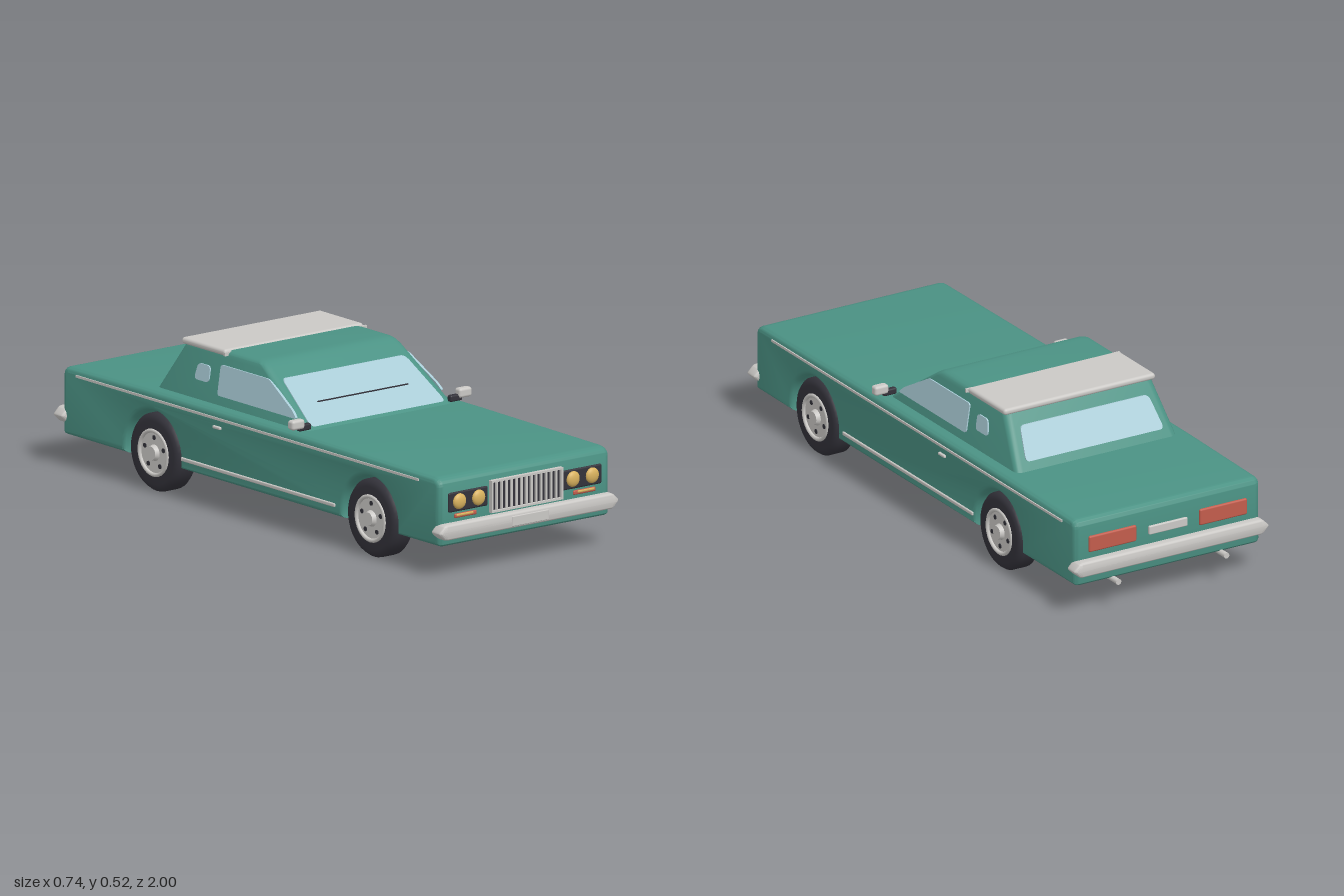
import * as THREE from 'three';
import { toCreasedNormals } from 'three/addons/utils/BufferGeometryUtils.js';
import { RoundedBoxGeometry } from 'three/addons/geometries/RoundedBoxGeometry.js';

const mat = (name, color) => Object.assign(new THREE.MeshStandardMaterial({ color }), { name });

export function createModel() {
  const car = new THREE.Group();
  car.name = 'car';
  const paint = mat('green paint', 0x4b9284);
  const chrome = mat('chrome', 0xcac8c5);
  const dark = mat('dark rubber', 0x33323a);
  const under = mat('underbody black', 0x222127);
  const glass = mat('glass', 0xa9cbd6);
  const red = mat('red lamp', 0xc25c4c);
  const gold = mat('headlamp yellow', 0xd9b25e);

  const add = (name, geo, material, x = 0, y = 0, z = 0, parent = car) => {
    const m = new THREE.Mesh(geo, material);
    m.name = name;
    m.position.set(x, y, z);
    parent.add(m);
    return m;
  };
  const box = (name, material, w, h, d, x, y, z, r = 0) =>
    add(name, r ? new RoundedBoxGeometry(w, h, d, 3, r) : new THREE.BoxGeometry(w, h, d), material, x, y, z);

  // Polygon with rounded corners
  const roundedShape = (pts, r) => {
    const s = new THREE.Shape();
    const v = pts.map((p) => new THREE.Vector2(...p));
    v.forEach((p, i) => {
      const toward = (q) => p.clone().add(q.clone().sub(p).setLength(r));
      const a = toward(v[(i + v.length - 1) % v.length]);
      const b = toward(v[(i + 1) % v.length]);
      if (i) s.lineTo(a.x, a.y); else s.moveTo(a.x, a.y);
      s.quadraticCurveTo(p.x, p.y, b.x, b.y);
    });
    s.closePath();
    return s;
  };

  // Lower body: side profile with wheel arches, extruded across the width
  const wheelZ = [-0.505, 0.61];
  const profile = new THREE.Shape();
  profile.moveTo(-0.955, 0.103);
  for (const z of wheelZ) profile.absarc(z, 0.13, 0.138, Math.PI + 0.2, -0.2, true);
  profile.lineTo(0.955, 0.103);
  profile.quadraticCurveTo(0.968, 0.103, 0.968, 0.115);
  profile.lineTo(0.968, 0.3);
  profile.quadraticCurveTo(0.966, 0.326, 0.93, 0.33);
  profile.lineTo(0.3, 0.336);
  profile.lineTo(-0.55, 0.336);
  profile.lineTo(-0.94, 0.33);
  profile.quadraticCurveTo(-0.968, 0.328, -0.968, 0.3);
  profile.lineTo(-0.968, 0.115);
  profile.quadraticCurveTo(-0.968, 0.103, -0.955, 0.103);
  const body = new THREE.ExtrudeGeometry(profile, {
    depth: 0.666, bevelThickness: 0.02, bevelSize: 0.018, bevelOffset: -0.018, bevelSegments: 4, curveSegments: 20,
  });
  body.translate(0, 0, -0.333).rotateY(-Math.PI / 2);
  add('body', toCreasedNormals(body, 0.6), paint);
  box('wheelWellLiner', under, 0.51, 0.18, 1.46, 0, 0.2, 0.05);
  box('floorPan', under, 0.5, 0.03, 1.24, 0, 0.1, 0, 0.006);

  // Cabin: rounded rectangles [y, front z, back z, half width] joined by walls
  const rings = [
    [0.32, 0.25, -0.555, 0.308], [0.49, 0, -0.44, 0.282], [0.503, -0.022, -0.43, 0.278],
    [0.51, -0.036, -0.422, 0.27], [0.513, -0.055, -0.41, 0.255],
  ];
  const pos = [], index = [], n = 24, r = 0.025;
  for (const [y, zf, zb, w] of rings) {
    for (let i = 0; i < n; i++) {
      const q = Math.floor(i / 6), a = (q + (i % 6) / 5) * Math.PI / 2;
      const cx = (q === 0 || q === 3 ? 1 : -1) * (w - r);
      const cz = q < 2 ? zf - r : zb + r;
      pos.push(cx + r * Math.cos(a), y, cz + r * Math.sin(a));
    }
  }
  for (let k = 0; k < rings.length - 1; k++) {
    for (let i = 0; i < n; i++) {
      const a = k * n + i, b = k * n + (i + 1) % n;
      index.push(a, a + n, b, b, a + n, b + n);
    }
  }
  const top = (rings.length - 1) * n;
  for (let i = 1; i < n - 1; i++) index.push(top, top + i + 1, top + i);
  const cabin = new THREE.BufferGeometry();
  cabin.setAttribute('position', new THREE.Float32BufferAttribute(pos, 3));
  cabin.setIndex(index);
  add('cabin', toCreasedNormals(cabin, 0.6), paint);

  // Windows: thin plates sheared to lie on the sloping cabin walls
  const along = (y, col) => THREE.MathUtils.mapLinear(y, 0.32, 0.49, rings[0][col], rings[1][col]);
  const pane = (name, pts, radius, side, offset) => {
    const g = new THREE.ExtrudeGeometry(roundedShape(pts, radius), { depth: 0.009, bevelEnabled: false });
    g.translate(0, 0, -0.0045);
    if (side) g.rotateY(-Math.PI / 2);
    const p = g.attributes.position;
    for (let i = 0; i < p.count; i++) {
      const o = offset(p.getY(i));
      if (side) p.setX(i, p.getX(i) + o); else p.setZ(i, p.getZ(i) + o);
    }
    g.computeVertexNormals();
    add(name, g, glass);
  };
  pane('windshield', [[-0.277, 0.345], [0.277, 0.345], [0.253, 0.467], [-0.253, 0.467]], 0.016, false, (y) => along(y, 1));
  pane('rearWindow', [[-0.262, 0.363], [0.262, 0.363], [0.243, 0.462], [-0.243, 0.462]], 0.016, false, (y) => along(y, 2));
  for (const s of [-1, 1]) {
    const wall = (y) => s * along(y, 3);
    pane('sideWindow', [[-0.232, 0.367], [0.175, 0.367], [0.15, 0.39], [0.015, 0.467], [-0.232, 0.467]], 0.012, true, wall);
    pane('quarterWindow', [[-0.357, 0.398], [-0.283, 0.398], [-0.283, 0.452], [-0.345, 0.452]], 0.016, true, wall);
  }
  box('wiper', dark, 0.375, 0.004, 0.004, 0, 0.4, along(0.4, 1) + 0.005);

  // Padded rear roof
  box('roofPad', chrome, 0.575, 0.022, 0.225, 0, 0.507, -0.327, 0.01);
  box('roofBand', chrome, 0.585, 0.012, 0.008, 0, 0.505, -0.211);

  // Bumpers with pointed ends
  const bumperShape = roundedShape([[-0.372, 0], [-0.345, -0.026], [0.345, -0.026], [0.372, 0], [0.345, 0.026], [-0.345, 0.026]], 0.008);
  const bumper = new THREE.ExtrudeGeometry(bumperShape, {
    depth: 0.031, bevelThickness: 0.012, bevelSize: 0.012, bevelOffset: -0.012, bevelSegments: 4,
  });
  bumper.translate(0, 0, -0.0155);
  const bumperGeo = toCreasedNormals(bumper, 0.7);
  add('frontBumper', bumperGeo, chrome, 0, 0.154, 0.97);
  add('rearBumper', bumperGeo, chrome, 0, 0.167, -0.972);
  box('frontPlate', chrome, 0.152, 0.034, 0.008, 0, 0.153, 0.996, 0.003);
  box('rearPlate', chrome, 0.146, 0.03, 0.012, 0, 0.24, -0.97, 0.004);

  // Grille
  box('grilleBack', dark, 0.285, 0.1, 0.01, 0, 0.242, 0.968);
  for (const s of [-1, 1]) {
    box('grilleFrameRail', chrome, 0.295, 0.007, 0.022, 0, 0.242 + s * 0.05, 0.972);
    box('grilleFrameSide', chrome, 0.007, 0.106, 0.022, s * 0.144, 0.242, 0.972);
  }
  for (let i = -6; i <= 6; i++) box('grilleBar', chrome, 0.007, 0.094, 0.012, i * 0.0205, 0.242, 0.974);

  const lampGeo = new THREE.SphereGeometry(0.026, 24, 14).scale(1, 1, 0.5);
  const pipeGeo = new THREE.CylinderGeometry(0.01, 0.01, 0.25, 14).rotateX(Math.PI / 2);
  for (const s of [-1, 1]) {
    // Lamps
    box('headlampPanel', dark, 0.162, 0.066, 0.014, s * 0.235, 0.246, 0.966, 0.006);
    for (const x of [0.195, 0.274]) add('headlamp', lampGeo, gold, s * x, 0.247, 0.974);
    box('turnSignal', red, 0.092, 0.015, 0.014, s * 0.245, 0.199, 0.966, 0.005);
    box('turnSignalLens', gold, 0.07, 0.008, 0.008, s * 0.25, 0.201, 0.971, 0.003);
    box('tailLamp', red, 0.18, 0.056, 0.016, s * 0.21, 0.242, -0.967, 0.006);
    // Mirrors
    box('mirrorArm', dark, 0.05, 0.022, 0.02, s * 0.312, 0.352, 0.222, 0.006);
    box('mirror', chrome, 0.052, 0.032, 0.03, s * 0.345, 0.366, 0.224, 0.009);
    // Side trim
    box('beltTrim', chrome, 0.008, 0.008, 1.76, s * 0.353, 0.309, -0.015);
    box('sillTrim', chrome, 0.01, 0.013, 0.79, s * 0.353, 0.14, 0.04, 0.004);
    box('doorHandle', chrome, 0.012, 0.01, 0.04, s * 0.355, 0.28, -0.17, 0.004);
    add('exhaustPipe', pipeGeo, chrome, s * 0.205, 0.1, -0.875);
  }

  // Wheels
  const tireProfile = [[0.07, -0.042], [0.105, -0.042], [0.12, -0.038], [0.129, -0.026], [0.129, 0.026], [0.12, 0.038], [0.105, 0.042], [0.07, 0.042]];
  const tireGeo = new THREE.LatheGeometry(tireProfile.map((p) => new THREE.Vector2(...p)), 40);
  const rimGeo = new THREE.CylinderGeometry(0.078, 0.078, 0.076, 32);
  const lipGeo = new THREE.TorusGeometry(0.073, 0.007, 10, 36).rotateX(Math.PI / 2);
  const capGeo = new THREE.CylinderGeometry(0.022, 0.028, 0.016, 20);
  const holeGeo = new THREE.CylinderGeometry(0.008, 0.008, 0.004, 12);
  for (const z of wheelZ) {
    for (const s of [-1, 1]) {
      const wheel = new THREE.Group();
      wheel.name = 'wheel';
      wheel.position.set(s * 0.307, 0.13, z);
      wheel.rotation.z = -s * Math.PI / 2;
      car.add(wheel);
      add('tire', tireGeo, dark, 0, 0, 0, wheel);
      add('rim', rimGeo, chrome, 0, 0, 0, wheel);
      add('rimLip', lipGeo, chrome, 0, 0.04, 0, wheel);
      add('hubCap', capGeo, chrome, 0, 0.044, 0, wheel);
      for (let i = 0; i < 5; i++) {
        const a = i * Math.PI * 0.4;
        add('rimHole', holeGeo, dark, 0.05 * Math.cos(a), 0.038, 0.05 * Math.sin(a), wheel);
      }
    }
  }
  return car;
}
